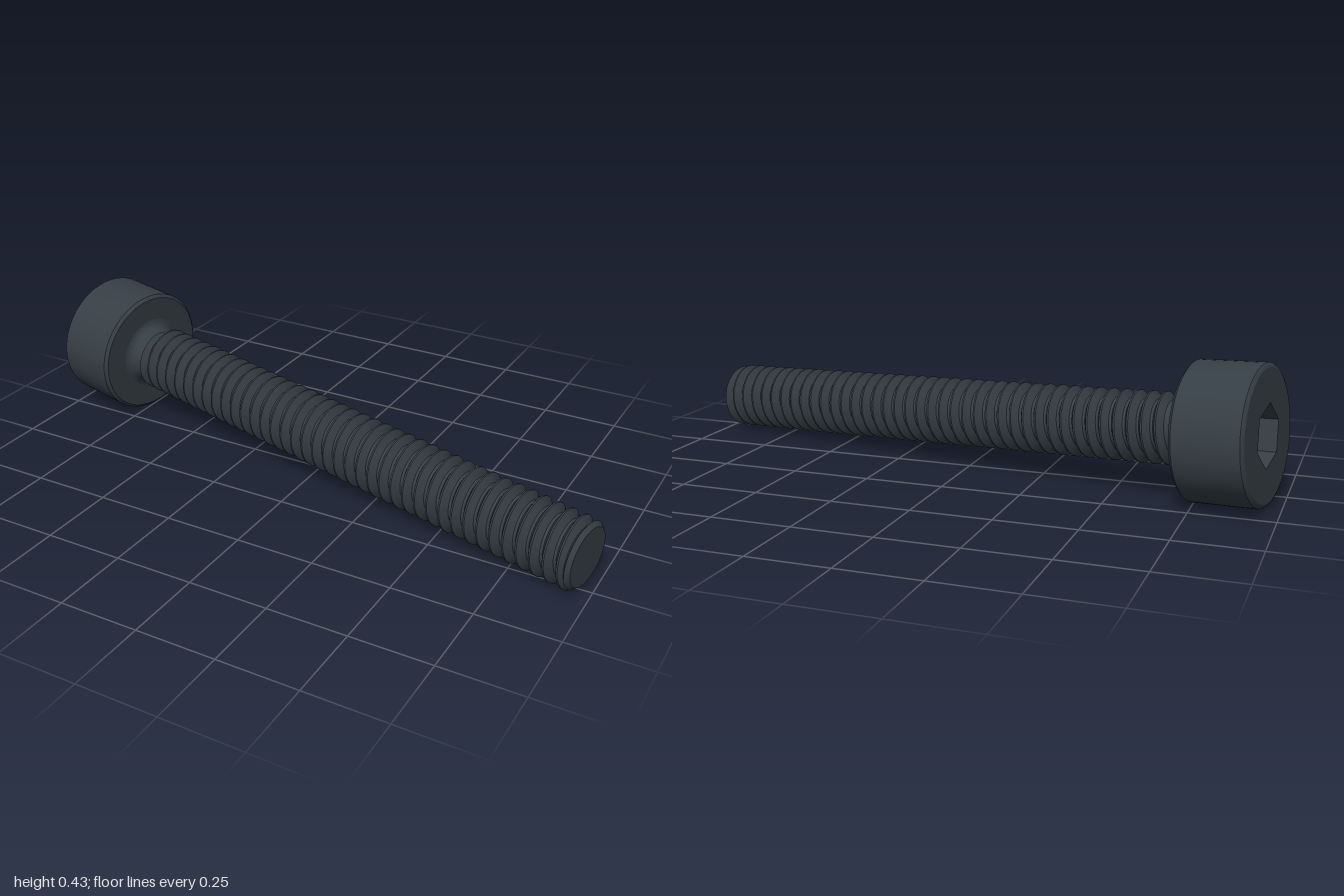
import * as THREE from 'three';
import { toCreasedNormals, mergeGeometries } from 'three/addons/utils/BufferGeometryUtils.js';

const LENGTH = 1.973, HEAD_H = 0.219, HEAD_R = 0.209;
const CREST = 0.109, ROOT = 0.084, TIP_R = 0.0915, PITCH = 0.0438;
const THREAD_START = 0.262, HEX_R = 0.095, HEX_DEPTH = 0.11;

const lathe = (points, segments = 64) => toCreasedNormals(
  new THREE.LatheGeometry(points.map(([r, y]) => new THREE.Vector2(r, y)), segments), 0.5);

// Turns an open cylinder inside out, with flat facets
function inside(geometry) {
  const g = geometry.scale(-1, 1, 1).toNonIndexed();
  g.computeVertexNormals();
  return g;
}

// One helical band between two profile points, trimmed to the thread length
function helixBand(turn, [t0, r0], [t1, r1], segments = 48) {
  const positions = [], index = [];
  for (let i = 0; i <= segments; i++) {
    const a = (i / segments) * Math.PI * 2;
    for (const [t, r] of [[t0, r0], [t1, r1]]) {
      const raw = THREAD_START + (turn + t + i / segments) * PITCH;
      const y = THREE.MathUtils.clamp(raw, THREAD_START, LENGTH);
      // crests are chamfered towards the tip and run out at the neck
      const limit = Math.min(TIP_R + (LENGTH - y), ROOT + (y - THREAD_START) * 1.5);
      const radius = raw === y ? Math.min(r, limit) : Math.min(ROOT, limit);
      positions.push(Math.cos(a) * radius, y, -Math.sin(a) * radius);
    }
    if (i < segments) {
      const k = i * 2;
      index.push(k, k + 2, k + 3, k, k + 3, k + 1);
    }
  }
  const g = new THREE.BufferGeometry();
  g.setAttribute('position', new THREE.Float32BufferAttribute(positions, 3));
  g.setIndex(index);
  g.computeVertexNormals();
  return g;
}

export function createModel() {
  const model = new THREE.Group();
  const screw = new THREE.Group();
  screw.name = 'screw';
  const steel = new THREE.MeshStandardMaterial({ color: 0x363e45 });
  steel.name = 'black steel';
  const add = (name, geometry, y = 0) => {
    const mesh = new THREE.Mesh(geometry, steel);
    mesh.name = name;
    mesh.position.y = y;
    screw.add(mesh);
  };

  // Head with rounded rims, and the filleted neck below it
  const rim = HEAD_R - 0.014;
  add('head', lathe([
    [rim, 0], [HEAD_R - 0.006, 0.003], [HEAD_R - 0.001, 0.008], [HEAD_R, 0.015],
    [HEAD_R, HEAD_H - 0.01], [HEAD_R - 0.01, HEAD_H], [0.122, HEAD_H],
  ]));
  add('neck', lathe([
    [0.122, HEAD_H], [0.112, HEAD_H + 0.002], [0.103, HEAD_H + 0.008],
    [0.098, HEAD_H + 0.016], [0.095, HEAD_H + 0.026], [ROOT, THREAD_START + 0.01],
  ]));

  // Top of the head, pierced by the hexagonal socket
  const face = new THREE.Shape().absarc(0, 0, rim, 0, Math.PI * 2);
  const hex = [];
  for (let i = 0; i < 6; i++) {
    const a = Math.PI / 6 + (i * Math.PI) / 3;
    hex.push(new THREE.Vector2(Math.sin(a) * HEX_R, Math.cos(a) * HEX_R));
  }
  face.holes.push(new THREE.Path(hex));
  add('headFace', new THREE.ShapeGeometry(face, 32).rotateX(Math.PI / 2));
  add('socketWall', inside(new THREE.CylinderGeometry(
    HEX_R, HEX_R, HEX_DEPTH, 6, 1, true, Math.PI / 6)), HEX_DEPTH / 2);
  add('socketFloor', inside(new THREE.CylinderGeometry(
    0, HEX_R, 0.03, 6, 1, true, Math.PI / 6)), HEX_DEPTH + 0.015);

  // Right-hand thread
  const profile = [[0, ROOT], [0.2, ROOT], [0.54, CREST], [0.66, CREST], [1, ROOT]];
  const bands = [];
  const turns = Math.ceil((LENGTH - THREAD_START) / PITCH);
  for (let turn = -1; turn < turns; turn++) {
    for (let j = 0; j < profile.length - 1; j++) {
      bands.push(helixBand(turn, profile[j], profile[j + 1]));
    }
  }
  add('thread', mergeGeometries(bands));

  // Flat end of the shank with a short chamfer
  add('tip', lathe([
    [ROOT, LENGTH - 0.026], [0.104, LENGTH - 0.0125], [TIP_R, LENGTH], [0, LENGTH],
  ]));

  // Lay the screw down, resting on its head and tip
  const axis = new THREE.Vector3(1.928, -0.111, 0.403).normalize();
  screw.quaternion.setFromUnitVectors(new THREE.Vector3(0, 1, 0), axis);
  screw.position.set(-0.953, 0.221, -0.153);
  model.add(screw);
  return model;
}
